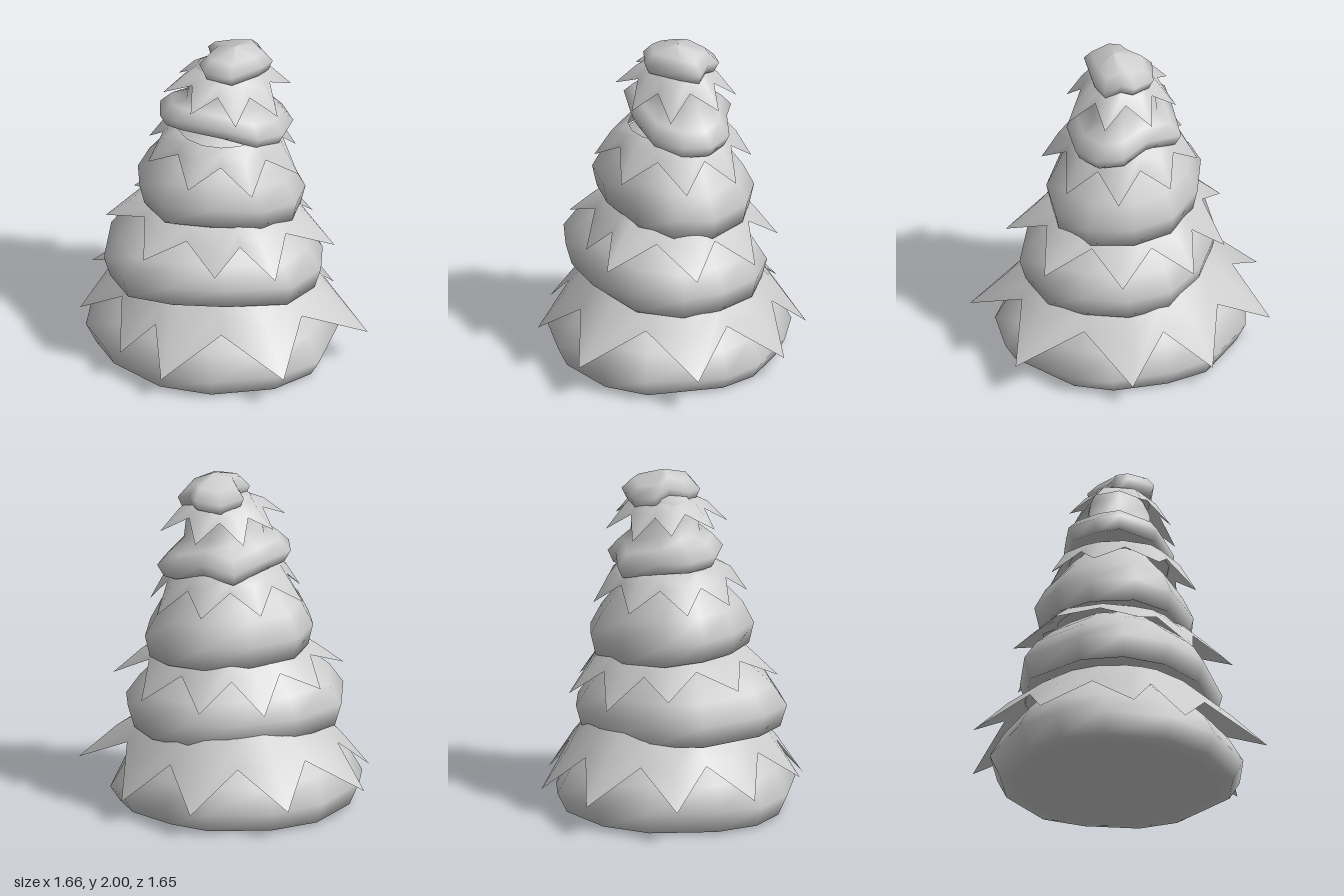
import * as THREE from 'three';

const material = new THREE.MeshStandardMaterial({ color: 0xcccccc, side: THREE.DoubleSide });

// Smooth skin over closed rings of [x, y, z] points, listed from bottom to top
function loft(name, rings) {
  const n = rings[0].length, index = [];
  for (let r = 0; r < rings.length - 1; r++) {
    for (let i = 0; i < n; i++) {
      const a = r * n + i, b = r * n + (i + 1) % n;
      index.push(a, a + n, b, b, a + n, b + n);
    }
  }
  const geometry = new THREE.BufferGeometry();
  geometry.setAttribute('position', new THREE.Float32BufferAttribute(rings.flat(2), 3));
  geometry.setIndex(index);
  geometry.computeVertexNormals();
  const mesh = new THREE.Mesh(geometry, material);
  mesh.name = name;
  return mesh;
}

// Puffy tier: one hand-placed rim, scaled about its centre by [scale, height, levelling] steps
function tier(name, { centre: [cx, cz], rim, steps }) {
  const mean = rim.reduce((sum, p) => sum + p[1], 0) / rim.length;
  return loft(name, steps.map(([s, dy, level = 0]) => rim.map(([x, y, z]) => [
    cx + (x - cx) * s,
    Math.max(0, y + (mean - y) * level + dy),
    cz + (z - cz) * s,
  ])));
}

// Jagged skirt: pointed leaves drooping from a root circle, with notches between them
function skirt(name, { centre: [cx, cz], radius, y, notch, bulge, tips }) {
  const outer = [];
  const rootOf = ([px, , pz]) => {
    const a = Math.atan2(pz - cz, px - cx);
    return [cx + radius * Math.cos(a), y, cz + radius * Math.sin(a)];
  };
  const mix = (p, q, t) => p.map((v, k) => v + (q[k] - v) * t);
  tips.forEach((tip, i) => {
    const mid = mix(tip, tips[(i + 1) % tips.length], 0.5);
    const gap = mix(rootOf(mid), mid, notch);
    gap[1] += 0.02;
    outer.push(tip, gap);
  });
  const root = outer.map(rootOf);
  const middle = outer.map((p, i) => {
    const m = mix(root[i], p, 0.5);
    m[1] += i % 2 ? 0.02 : bulge;
    return m;
  });
  return loft(name, [outer, middle, root]);
}

const tiers = {
  bottomTier: {
    centre: [-0.05, 0],
    rim: [[-0.8, 0.14, 0.06], [-0.75, 0.15, -0.22], [-0.5, 0.14, -0.57], [-0.2, 0.13, -0.7], [0.2, 0.13, -0.67],
      [0.42, 0.12, -0.5], [0.63, 0.11, -0.22], [0.68, 0.1, 0.03], [0.54, 0.12, 0.5], [0.3, 0.13, 0.67],
      [-0.1, 0.13, 0.72], [-0.42, 0.14, 0.61], [-0.7, 0.14, 0.32]],
    steps: [[0, -0.13, 1], [0.8, -0.13, 1], [0.92, -0.115, 1], [1, 0], [0.89, 0.14], [0.75, 0.24], [0.58, 0.34], [0, 0.42, 1]],
  },
  lowerTier: {
    centre: [-0.05, 0.02],
    rim: [[-0.7, 0.65, 0.15], [-0.64, 0.64, -0.25], [-0.36, 0.62, -0.45], [0, 0.61, -0.51], [0.3, 0.6, -0.45],
      [0.5, 0.6, -0.27], [0.58, 0.6, 0], [0.56, 0.6, 0.25], [0.38, 0.62, 0.48], [0, 0.67, 0.58],
      [-0.33, 0.67, 0.54], [-0.6, 0.65, 0.4]],
    steps: [[0, -0.08, 0.5], [0.75, -0.07], [0.94, -0.13], [1, 0], [0.87, 0.12], [0.7, 0.22, 0.4], [0.52, 0.31, 0.8], [0, 0.4, 1]],
  },
  middleTier: {
    centre: [-0.02, 0],
    rim: [[-0.49, 1.11, 0.1], [-0.49, 1.1, -0.13], [-0.38, 1.08, -0.34], [-0.1, 1.06, -0.44], [0.2, 1.05, -0.42],
      [0.4, 1.04, -0.26], [0.48, 1.02, 0], [0.42, 1.05, 0.24], [0.22, 1.08, 0.38], [-0.1, 1.12, 0.42], [-0.37, 1.11, 0.34]],
    steps: [[0, -0.06, 0.5], [0.7, -0.06], [0.94, -0.125], [1, 0], [0.86, 0.13], [0.7, 0.22, 0.4], [0.52, 0.33, 0.8], [0, 0.4, 1]],
  },
  upperTier: {
    centre: [0.02, -0.01],
    rim: [[-0.37, 1.56, 0.06], [-0.36, 1.55, -0.12], [-0.2, 1.53, -0.24], [0, 1.49, -0.38], [0.18, 1.52, -0.25],
      [0.35, 1.48, -0.17], [0.41, 1.46, -0.02], [0.35, 1.46, 0.14], [0.2, 1.5, 0.26], [-0.02, 1.58, 0.28], [-0.28, 1.59, 0.18]],
    steps: [[0, -0.02, 0.7], [0.65, -0.04], [0.9, -0.07], [1, 0], [0.82, 0.07, 0.1], [0.6, 0.12, 0.7], [0.56, 0.24, 1], [0.4, 0.35, 1], [0, 0.36, 1]],
  },
  topTuft: {
    centre: [0.07, 0.02],
    rim: [[-0.14, 1.9, 0.05], [-0.06, 1.92, -0.04], [-0.08, 1.89, -0.16], [0.06, 1.87, -0.23], [0.21, 1.89, -0.18],
      [0.23, 1.9, -0.1], [0.29, 1.87, -0.02], [0.22, 1.89, 0.09], [0.04, 1.9, 0.22], [-0.12, 1.9, 0.14]],
    steps: [[0, -0.04, 1], [0.6, -0.06], [0.88, -0.06], [1, 0], [0.74, 0.06], [0, 0.107, 1]],
  },
};

const skirts = {
  lowerLeaves: {
    centre: [-0.03, 0], radius: 0.46, y: 0.56, notch: 0.5, bulge: 0.03,
    tips: [[-0.83, 0.2, -0.03], [-0.74, 0.2, -0.54], [-0.26, 0.18, -0.83], [0.3, 0.14, -0.71], [0.66, 0.13, -0.36],
      [0.83, 0.2, 0.31], [0.32, 0.2, 0.82], [-0.39, 0.14, 0.69], [-0.62, 0.2, 0.48]],
  },
  middleLeaves: {
    centre: [-0.02, 0], radius: 0.35, y: 1.0, notch: 0.5, bulge: 0.03,
    tips: [[-0.68, 0.83, -0.03], [-0.5, 0.79, -0.41], [-0.15, 0.69, -0.59], [0.23, 0.71, -0.56], [0.53, 0.7, -0.24],
      [0.64, 0.74, 0.21], [0.28, 0.75, 0.61], [-0.07, 0.74, 0.55], [-0.48, 0.8, 0.43]],
  },
  upperLeaves: {
    centre: [0, 0], radius: 0.27, y: 1.46, notch: 0.5, bulge: 0.05,
    tips: [[-0.44, 1.27, 0.1], [-0.42, 1.26, -0.2], [-0.15, 1.25, -0.42], [0.2, 1.24, -0.4], [0.43, 1.2, -0.17],
      [0.43, 1.2, 0.16], [0.15, 1.22, 0.44], [-0.22, 1.26, 0.41]],
  },
  topLeaves: {
    centre: [0.04, 0], radius: 0.13, y: 1.86, notch: 0.55, bulge: 0.04,
    tips: [[-0.35, 1.72, 0.06], [-0.25, 1.7, -0.18], [-0.06, 1.65, -0.32], [0.22, 1.66, -0.29], [0.4, 1.68, -0.07],
      [0.31, 1.62, 0.2], [0.06, 1.63, 0.32], [-0.2, 1.7, 0.28]],
  },
};

export function createModel() {
  const tree = new THREE.Group();
  tree.name = 'tree';
  for (const [name, spec] of Object.entries(tiers)) tree.add(tier(name, spec));
  for (const [name, spec] of Object.entries(skirts)) tree.add(skirt(name, spec));
  return tree;
}
